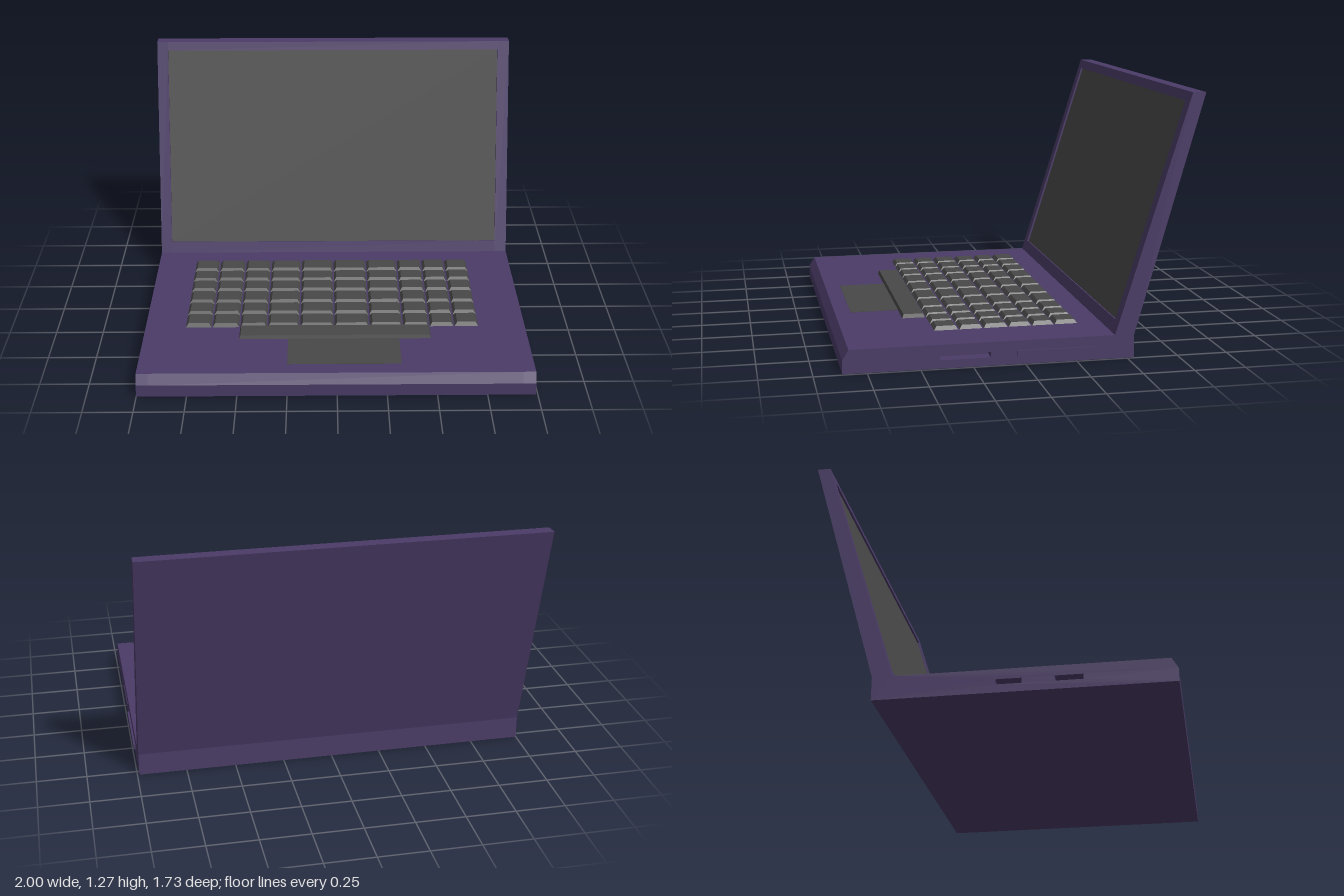
import * as THREE from 'three';

const purple = new THREE.MeshStandardMaterial({ color: 0x4a3b66 });
const charcoal = new THREE.MeshStandardMaterial({ color: 0x484848 });

// Side profile as [z, y]: base, sloped front lip and tilted lid
const base = [[-0.535, 0], [0.865, 0], [0.865, 0.065], [0.835, 0.115], [-0.44, 0.115]];
const lidTop = [[-0.8, 1.27], [-0.865, 1.27], [-0.535, 0.115]];
const tilt = Math.atan2(0.36, 1.155);
const screenLow = [-0.459, 0.175], screenHigh = [-0.786, 1.225];

// Moves a [z, y] point into the lid, square to its face
const sink = ([z, y], d) => [z - d * Math.cos(tilt), y - d * Math.sin(tilt)];

// Extrudes a [z, y] profile from x0 to x1, with rectangular holes [z0, z1, y0, y1]
function slab(name, points, x0, x1, holes = []) {
  const shape = new THREE.Shape(points.map(([z, y]) => new THREE.Vector2(-z, y)));
  for (const [z0, z1, y0, y1] of holes) {
    shape.holes.push(new THREE.Path([[z0, y0], [z0, y1], [z1, y1], [z1, y0]]
      .map(([z, y]) => new THREE.Vector2(-z, y))));
  }
  const geo = new THREE.ExtrudeGeometry(shape, { depth: x1 - x0, bevelEnabled: false });
  geo.rotateY(Math.PI / 2).translate(x0, 0, 0);
  const mesh = new THREE.Mesh(geo, purple);
  mesh.name = name;
  return mesh;
}

// Box between two corners; the top face can be drawn in for a key cap
function block(name, material, [x0, x1], [y0, y1], [z0, z1], inset = 0) {
  const w = x1 - x0, d = z1 - z0;
  const geo = new THREE.BoxGeometry(w, y1 - y0, d);
  if (inset) {
    const p = geo.attributes.position;
    for (let i = 0; i < p.count; i++) {
      if (p.getY(i) > 0) {
        p.setX(i, p.getX(i) * (1 - 2 * inset / w));
        p.setZ(i, p.getZ(i) * (1 - 2 * inset / d));
      }
    }
    geo.computeVertexNormals();
  }
  const mesh = new THREE.Mesh(geo, material);
  mesh.name = name;
  mesh.position.set((x0 + x1) / 2, (y0 + y1) / 2, (z0 + z1) / 2);
  return mesh;
}

export function createModel() {
  const laptop = new THREE.Group();
  laptop.name = 'laptop';

  // Middle of the case, notched for the screen; the two sides carry the port openings
  const notch = [screenLow, sink(screenLow, 0.014), sink(screenHigh, 0.014), screenHigh];
  const full = [...base, ...lidTop];
  laptop.add(
    slab('caseMiddle', [...base, ...notch, ...lidTop], -0.94, 0.925),
    slab('caseRightSide', full, -1, -0.94, [[0.04, 0.16, 0.04, 0.065], [0.31, 0.44, 0.04, 0.065]]),
    slab('caseLeftSide', full, 0.925, 0.99, [[0.165, 0.41, 0.04, 0.067]]),
  );

  // Disc drive front on the left side
  laptop.add(block('driveTray', purple, [0.97, 1], [0.04, 0.067], [-0.34, 0.04]));

  // Screen panel set into the lid
  const screen = new THREE.Mesh(new THREE.BoxGeometry(1.865, 1.1, 0.004), charcoal);
  screen.name = 'screen';
  const [z, y] = sink([(screenLow[0] + screenHigh[0]) / 2, (screenLow[1] + screenHigh[1]) / 2], 0.012);
  screen.position.set(-0.0075, y, z);
  screen.rotation.x = -tilt;
  laptop.add(screen);

  // Keyboard: bevelled caps in uneven columns, with the space bar in front
  const keyboard = new THREE.Group();
  keyboard.name = 'keyboard';
  const columns = [-0.79, -0.65, -0.505, -0.36, -0.19, -0.01, 0.175, 0.35, 0.49, 0.62, 0.75];
  const rows = [-0.32, -0.2, -0.087, 0.03, 0.155, 0.275, 0.4];
  const keyHeight = [0.112, 0.134];
  for (let r = 0; r < rows.length - 1; r++) {
    for (let c = 0; c < columns.length - 1; c++) {
      keyboard.add(block('key', charcoal, [columns[c], columns[c + 1] - 0.003], keyHeight,
        [rows[r], rows[r + 1] - 0.003], 0.015));
    }
  }
  keyboard.add(block('spaceBar', charcoal, [-0.505, 0.49], keyHeight, [0.4, 0.515], 0.008));
  laptop.add(keyboard);

  // Touchpad flush with the palm rest
  laptop.add(block('touchpad', charcoal, [-0.25, 0.325], [0.11, 0.1165], [0.51, 0.755]));

  return laptop;
}
